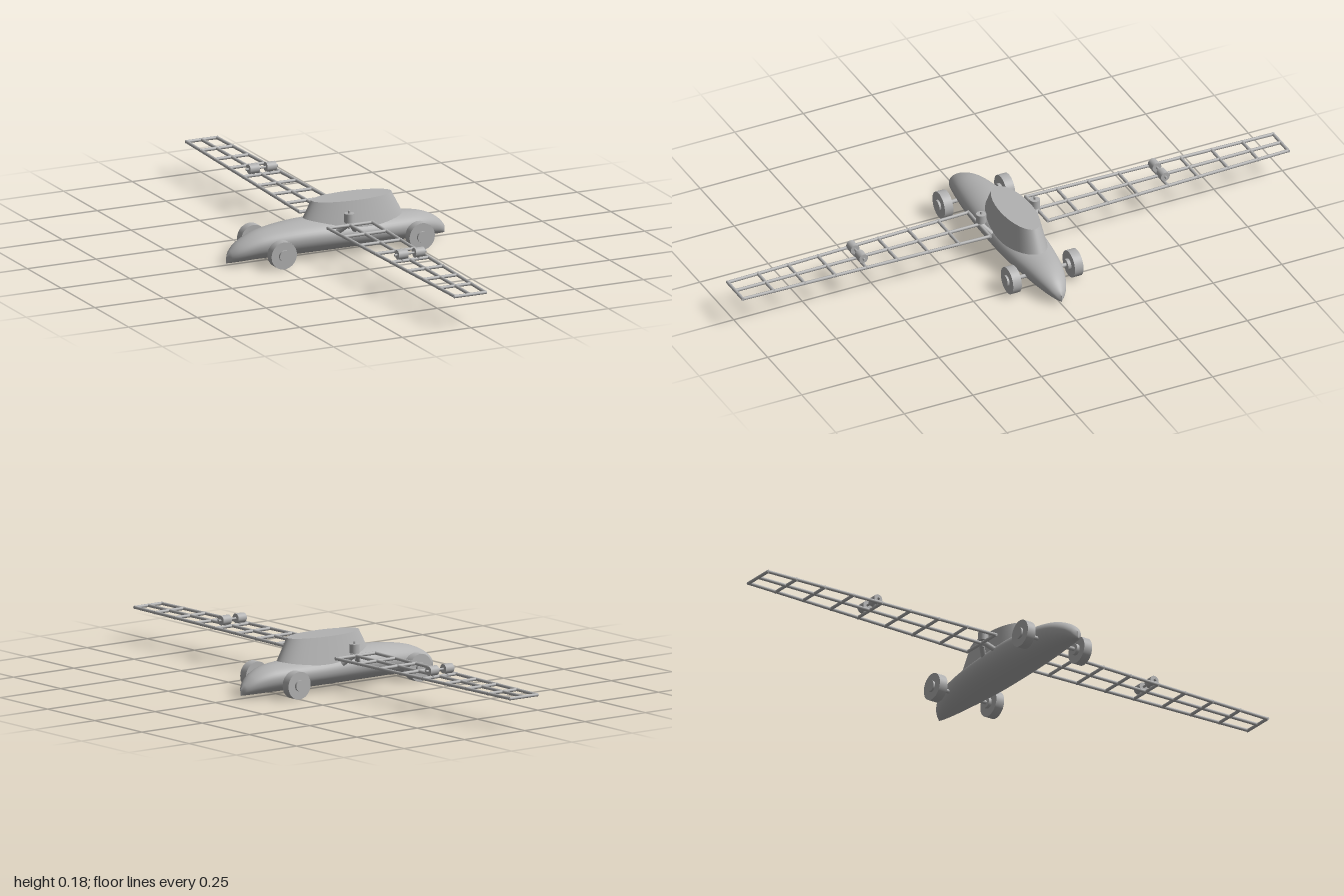
import * as THREE from 'three';
import { ParametricGeometry } from 'three/addons/geometries/ParametricGeometry.js';

const grey = new THREE.MeshStandardMaterial({ color: 0xb2b2b2 });
grey.name = 'plain grey';

function add(parent, name, geometry) {
  const mesh = new THREE.Mesh(geometry, grey);
  mesh.name = name;
  parent.add(mesh);
  return mesh;
}

// Round bar from point a to point b
function rod(parent, name, a, b, radius, sides = 10) {
  const p = new THREE.Vector3(...a), q = new THREE.Vector3(...b);
  const dir = q.clone().sub(p);
  const mesh = add(parent, name, new THREE.CylinderGeometry(radius, radius, dir.length(), sides));
  mesh.position.copy(p).add(q).multiplyScalar(0.5);
  mesh.quaternion.setFromUnitVectors(new THREE.Vector3(0, 1, 0), dir.normalize());
  return mesh;
}

// Streamlined hull: each station holds x, top height and half width
function hullGeometry() {
  const stations = new THREE.CatmullRomCurve3([
    [-0.4, 0.03, 0], [-0.386, 0.05, 0.02], [-0.36, 0.072, 0.037], [-0.3, 0.1, 0.055],
    [-0.2, 0.118, 0.072], [-0.1, 0.124, 0.081], [0, 0.12, 0.083], [0.1, 0.114, 0.081],
    [0.2, 0.109, 0.072], [0.3, 0.098, 0.055], [0.355, 0.075, 0.036], [0.383, 0.05, 0.018],
    [0.395, 0.033, 0],
  ].map((p) => new THREE.Vector3(...p)));
  return new ParametricGeometry((u, v, target) => {
    const s = stations.getPoint(u);
    const bottom = 0.011 - 0.004 * Math.max(0, (-s.x - 0.3) / 0.1);
    const middle = bottom + (s.y - bottom) * 0.55;
    const a = v * Math.PI * 2, sin = Math.sin(a);
    const y = middle + sin * (sin > 0 ? s.y - middle : middle - bottom);
    target.set(s.x, y, Math.max(0, s.z) * Math.cos(a));
  }, 72, 40);
}

// Wing lattice, root fittings and motors on the side given by s (+1 or -1)
function wing(s) {
  const group = new THREE.Group();
  group.name = s > 0 ? 'frontWing' : 'backWing';
  const y = 0.113, root = 0.105, tip = 0.994;
  const halfChord = (z) => THREE.MathUtils.mapLinear(z, root, tip, 0.08, 0.055);

  for (const k of [-1, 0, 1]) {
    rod(group, 'spar', [k * halfChord(root), y, s * root], [k * halfChord(tip), y, s * tip], 0.0055);
  }
  for (let i = 0; i < 9; i++) {
    const z = THREE.MathUtils.lerp(root, tip, i / 8), c = halfChord(z) + 0.004;
    rod(group, 'rib', [-c, y, s * z], [c, y, s * z], 0.0055);
  }

  // Paired motors above the middle rib
  const mz = s * 0.55, my = 0.136;
  rod(group, 'motorShaft', [-0.058, my, mz], [0.058, my, mz], 0.004);
  for (const k of [-1, 1]) {
    rod(group, 'motor', [k * 0.014, my, mz], [k * 0.048, my, mz], 0.016, 24);
    rod(group, 'motorStem', [k * 0.03, y, mz], [k * 0.03, my, mz], 0.005);
  }

  // Upright actuator and splayed struts at the wing root
  rod(group, 'actuator', [0, 0.122, s * 0.098], [0, 0.152, s * 0.098], 0.017, 24);
  rod(group, 'actuatorShaft', [0, 0.1, s * 0.098], [0, 0.161, s * 0.098], 0.004);
  for (const k of [-1, 1]) {
    rod(group, 'rootStrut', [k * 0.005, 0.116, s * 0.103], [k * 0.032, 0.086, s * 0.075], 0.009, 14);
  }
  return group;
}

// Wheel with hub and stub axle
function wheel(x, s) {
  const group = new THREE.Group();
  group.name = 'wheel';
  const y = 0.047;
  rod(group, 'tyre', [x, y, s * 0.097], [x, y, s * 0.128], 0.046, 40);
  rod(group, 'hub', [x, y, s * 0.086], [x, y, s * 0.135], 0.019, 24);
  rod(group, 'axle', [x, y, 0], [x, y, s * 0.09], 0.007, 12);
  return group;
}

export function createModel() {
  const model = new THREE.Group();
  model.name = 'wingedCar';

  add(model, 'hull', hullGeometry());

  // Flat-topped oval cabin
  const cabin = add(model, 'cabin', new THREE.CylinderGeometry(0.1435, 0.1915, 0.09, 64));
  cabin.scale.z = 0.383;
  cabin.position.set(0.055, 0.134, 0);

  for (const s of [-1, 1]) {
    model.add(wing(s));
    for (const x of [-0.251, 0.251]) model.add(wheel(x, s));
  }
  return model;
}
